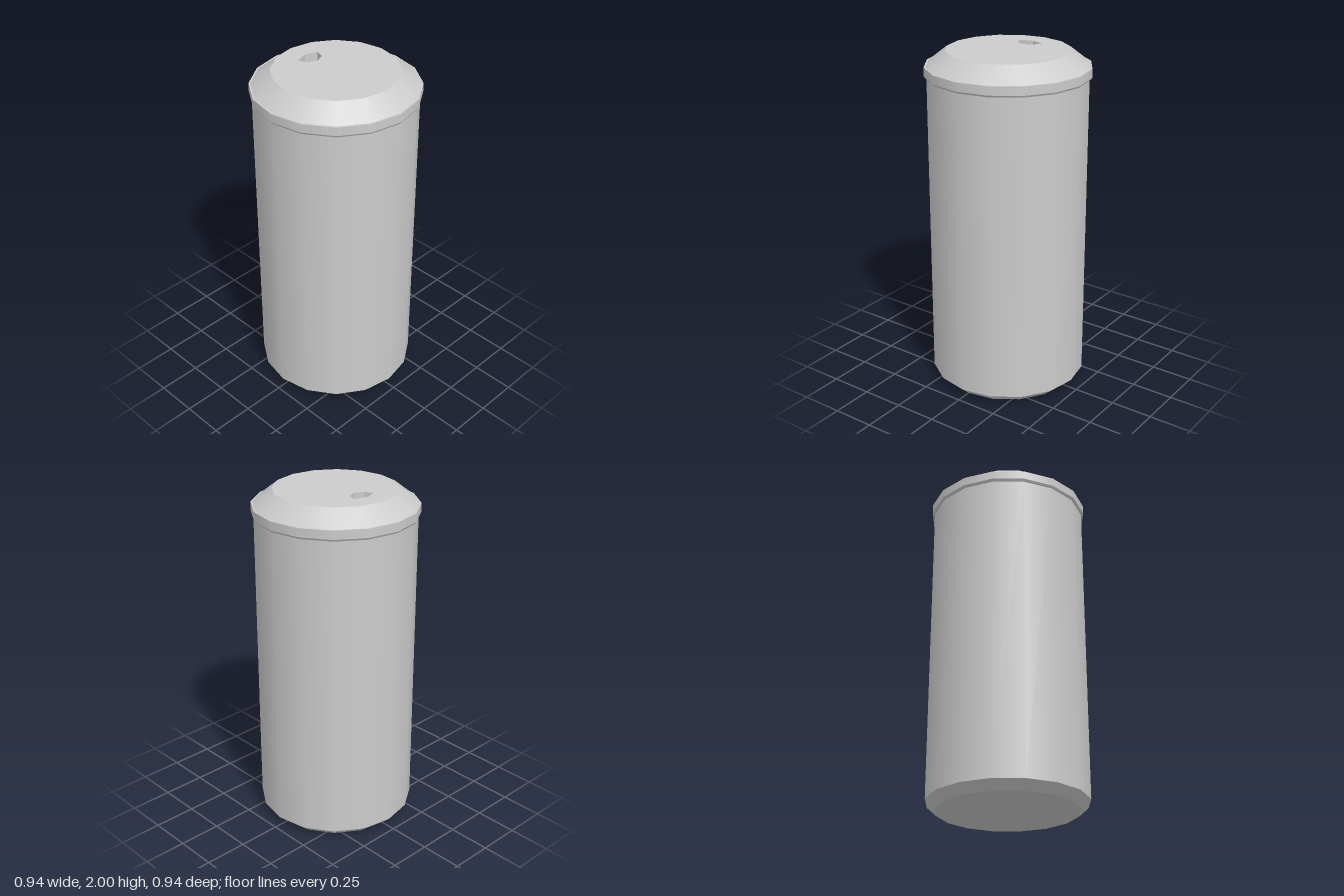
import * as THREE from 'three';

const SIDES = 16;

export function createModel() {
  const model = new THREE.Group();
  const material = new THREE.MeshStandardMaterial({ color: 0xcccccc });

  const add = (name, geometry, parent) => {
    const mesh = new THREE.Mesh(geometry, material);
    mesh.name = name;
    parent.add(mesh);
    return mesh;
  };

  // Open ring from (r0, y0) up to (r1, y1), smooth around with a crease at each end
  const ring = (name, r0, y0, r1, y1, parent) => {
    const geometry = new THREE.CylinderGeometry(r1, r0, y1 - y0, SIDES, 1, true);
    geometry.translate(0, (y0 + y1) / 2, 0);
    return add(name, geometry, parent);
  };

  // Flat ring or disc facing up
  const flat = (name, inner, outer, y, parent) => {
    const geometry = new THREE.RingGeometry(inner, outer, SIDES, 1);
    geometry.rotateX(-Math.PI / 2).translate(0, y, 0);
    return add(name, geometry, parent);
  };

  // Cup body with a chamfered foot
  const body = new THREE.Group();
  body.name = 'body';
  model.add(body);
  const base = new THREE.CircleGeometry(0.405, SIDES);
  base.rotateX(Math.PI / 2);
  add('base', base, body);
  ring('footChamfer', 0.405, 0, 0.46, 0.05, body);
  ring('wall', 0.46, 0.05, 0.457, 1.86, body);

  // Lid: lip, rim and sloping shoulder
  const lid = new THREE.Group();
  lid.name = 'lid';
  model.add(lid);
  const lip = new THREE.RingGeometry(0.45, 0.464, SIDES, 1);
  lip.rotateX(Math.PI / 2).translate(0, 1.854, 0);
  add('lipUnderside', lip, lid);
  ring('lipChamfer', 0.464, 1.854, 0.471, 1.865, lid);
  ring('rim', 0.471, 1.865, 0.471, 1.915, lid);
  flat('rimLedge', 0.461, 0.471, 1.915, lid);
  ring('shoulder', 0.461, 1.915, 0.353, 2, lid);

  // Lid top with a drinking hole
  const depth = 0.1;
  const outline = Array.from({ length: SIDES }, (_, i) => {
    const a = (i / SIDES) * Math.PI * 2;
    return new THREE.Vector2(Math.cos(a) * 0.353, Math.sin(a) * 0.353);
  });
  const holePoints = [
    [-0.24, 0], [-0.217, 0.075], [-0.163, 0.053],
    [-0.14, 0], [-0.163, -0.053], [-0.217, -0.075],
  ].map(([x, y]) => new THREE.Vector2(x, y));
  const top = new THREE.Shape(outline);
  top.holes.push(new THREE.Path(holePoints));
  const plate = new THREE.ExtrudeGeometry(top, { depth, bevelEnabled: false });
  plate.rotateX(-Math.PI / 2).translate(0, 2 - depth, 0);
  add('lidTop', plate, lid);

  // Floor of the drinking hole
  const floor = new THREE.ShapeGeometry(new THREE.Shape(holePoints));
  floor.rotateX(-Math.PI / 2).translate(0, 2 - depth, 0);
  add('drinkingHoleFloor', floor, lid);

  return model;
}
